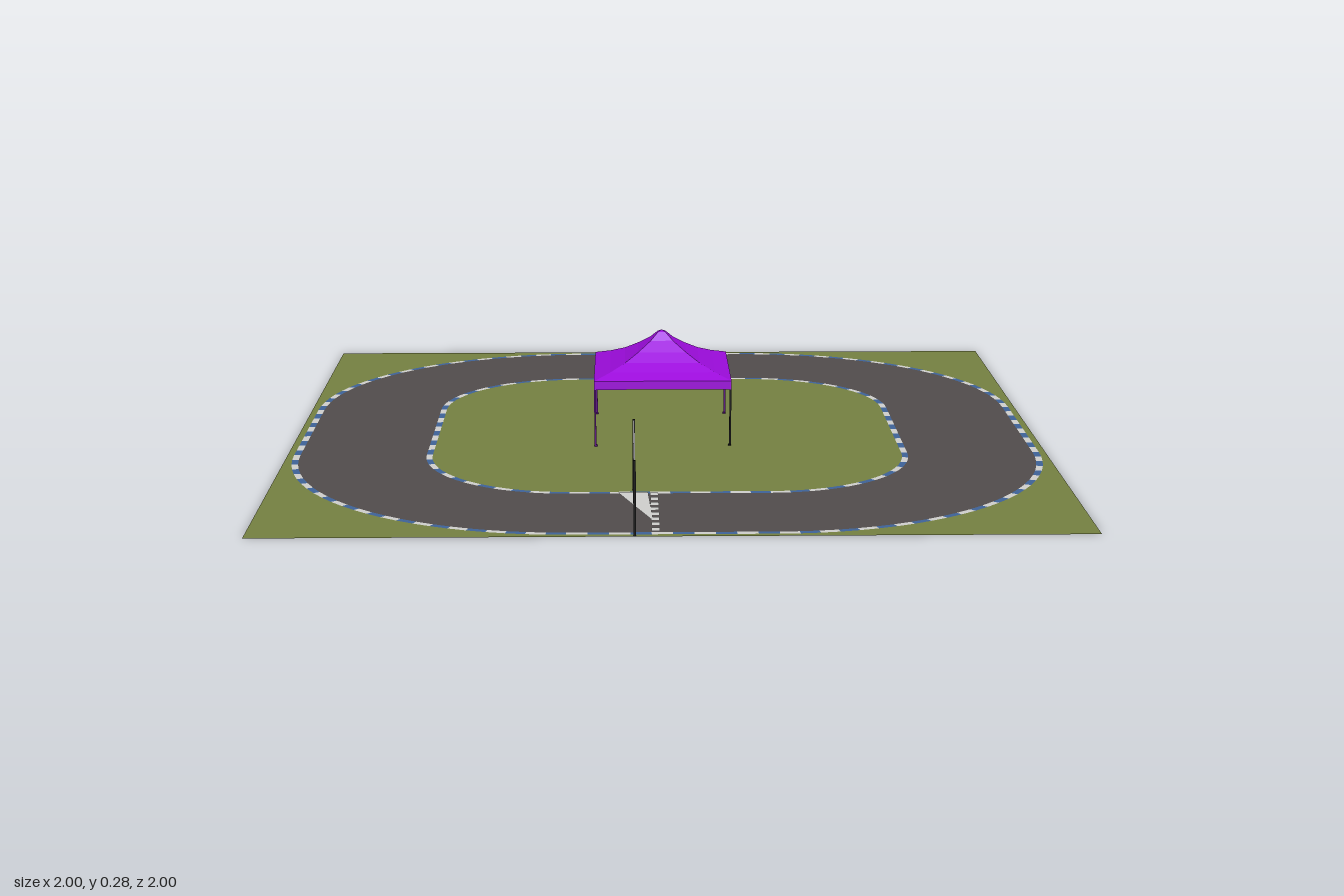
import * as THREE from 'three';

const mat = (name, color) => {
  const m = new THREE.MeshStandardMaterial({ color, side: THREE.DoubleSide });
  m.name = name;
  return m;
};

export function createModel() {
  const grass = mat('grass green', 0x768142), asphalt = mat('asphalt grey', 0x524d4d);
  const white = mat('white', 0xd0d0ce), blue = mat('curb blue', 0x3f6399);
  const purple = mat('canopy purple', 0x9c0cdc), darkPurple = mat('leg purple', 0x5a0880);
  const black = mat('post black', 0x161616);
  const model = new THREE.Group();

  const add = (name, geometry, material, x = 0, y = 0, z = 0, parent = model) => {
    const mesh = new THREE.Mesh(geometry, material);
    mesh.name = name;
    mesh.position.set(x, y, z);
    parent.add(mesh);
    return mesh;
  };
  const box = (name, w, h, d, material, x, y, z, parent) =>
    add(name, new THREE.BoxGeometry(w, h, d), material, x, y, z, parent);

  // Rounded square ring: four corner arcs of radius r about (±C, ±C), joined by straights
  const C = 0.25, ARC = 24, STRAIGHT = 10;
  const ring = (r) => {
    const pts = [];
    for (let k = 0; k < 4; k++) {
      const corner = (j) => new THREE.Vector2(C, C).rotateAround(new THREE.Vector2(), j * Math.PI / 2);
      const on = (j, a) => corner(j).add(new THREE.Vector2(Math.cos(a) * r, Math.sin(a) * r));
      for (let i = 0; i < ARC; i++) pts.push(on(k, (k + i / ARC) * Math.PI / 2));
      const end = (k + 1) * Math.PI / 2;
      for (let i = 0; i < STRAIGHT; i++) pts.push(on(k, end).lerp(on(k + 1, end), i / STRAIGHT));
    }
    return pts;
  };
  const flat = (outer, hole) => {
    const shape = new THREE.Shape(outer);
    if (hole) shape.holes.push(new THREE.Path(hole));
    return new THREE.ShapeGeometry(shape).rotateX(-Math.PI / 2);
  };

  // Ground and track, all in one plane
  const R = [0.368, 0.384, 0.716, 0.733].map(ring);
  const square = [[-1, -1], [1, -1], [1, 1], [-1, 1]].map(([x, y]) => new THREE.Vector2(x, y));
  add('outerGrass', flat(square, R[3]), grass);
  add('infieldGrass', flat(R[0]), grass);
  add('track', flat(R[2], R[1]), asphalt);

  // Striped curbs: alternate dashes between two neighbouring rings
  const curb = (name, inner, outer, arcStep) => {
    const side = ARC + STRAIGHT, n = inner.length;
    [white, blue].forEach((material, parity) => {
      const pos = [];
      for (let i = 0; i < n; i++) {
        const s = i % side;
        const dash = s < ARC ? Math.floor(s / arcStep) : ARC / arcStep + s - ARC;
        if (dash % 2 !== parity) continue;
        const j = (i + 1) % n;
        for (const p of [inner[i], outer[i], outer[j], inner[i], outer[j], inner[j]]) pos.push(p.x, 0, -p.y);
      }
      const g = new THREE.BufferGeometry();
      g.setAttribute('position', new THREE.Float32BufferAttribute(pos, 3));
      g.computeVertexNormals();
      add(name + (parity ? 'Blue' : 'White'), g, material);
    });
  };
  curb('innerCurb', R[0], R[1], 2);
  curb('outerCurb', R[2], R[3], 1);

  // Start line: white wedge and a row of small checks
  const wedge = [[-0.13, -0.63], [-0.088, -0.63], [-0.055, -0.63], [-0.045, -0.88]]
    .map(([x, y]) => new THREE.Vector2(x, y));
  add('startWedge', flat(wedge), white, 0, 0.002, 0);
  for (let i = 0; i < 8; i++) {
    const check = new THREE.PlaneGeometry(0.02, 0.024).rotateX(-Math.PI / 2);
    add('startCheck', check, white, -0.04, 0.002, 0.645 + i * 0.043);
  }

  // Start gate across the track
  const gate = new THREE.Group();
  gate.name = 'startGate';
  gate.position.set(-0.09, 0, 0.8);
  model.add(gate);
  for (const s of [-1, 1]) box('gatePost', 0.006, 0.182, 0.006, black, 0, 0.091, s * 0.196, gate);
  box('gateBanner', 0.004, 0.05, 0.392, white, 0, 0.154, 0, gate);

  // Tent
  const tent = new THREE.Group();
  tent.name = 'tent';
  tent.position.set(-0.011, 0, -0.011);
  model.add(tent);
  const H = 0.183;
  // Canopy: valance and concave four-sided roof
  const canopy = (profile) => {
    const pts = profile.map(([r, y]) => new THREE.Vector2(r * Math.SQRT2, y));
    const g = new THREE.LatheGeometry(pts, 4, Math.PI / 4).toNonIndexed();
    g.computeVertexNormals();
    return g;
  };
  add('roof', canopy([[H, 0.178], [0.14, 0.192], [0.1, 0.209], [0.065, 0.23], [0.03, 0.255], [0.01, 0.275], [0, 0.28]]),
    purple, 0, 0, 0, tent);
  add('valance', canopy([[H, 0.155], [H, 0.178]]), purple, 0, 0, 0, tent);
  // Legs with small feet
  for (const x of [-1, 1]) for (const z of [-1, 1]) {
    const m = x > 0 && z > 0 ? black : darkPurple;
    box('leg', 0.005, 0.175, 0.005, m, x * (H - 0.003), 0.0875, z * (H - 0.003), tent);
    box('foot', 0.008, 0.004, 0.008, m, x * (H - 0.004), 0.002, z * (H - 0.004), tent);
  }
  return model;
}
